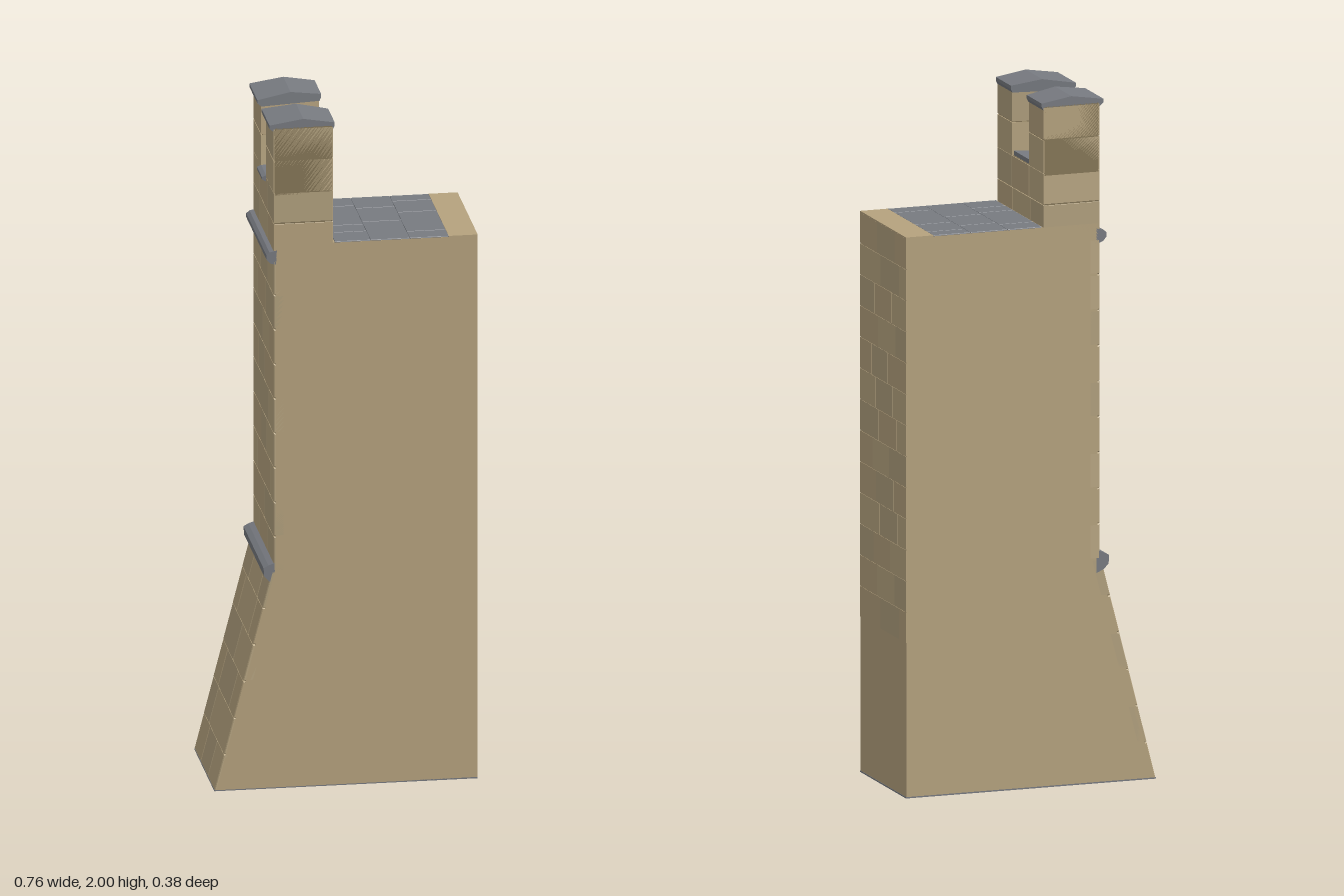
import * as THREE from 'three';

const STONES = [0xb5a27e, 0xb1a07e, 0xb8a682].map(color => new THREE.MeshStandardMaterial({ color, flatShading: true }));
const SLATE = new THREE.MeshStandardMaterial({ color: 0x777a80, flatShading: true });
const MORTAR = new THREE.MeshStandardMaterial({ color: 0x857657, flatShading: true });
const D = 0.1875;    // half the depth of the wall section
const ROOF = 1.625;  // walkway level

export function createModel() {
  const root = new THREE.Group();
  root.name = 'castleWallSection';
  let count = 0;
  const stone = () => STONES[(count++ * 7 + (count >> 2)) % 3];

  const add = (parent, name, geometry, material) => {
    const mesh = new THREE.Mesh(geometry, material);
    mesh.name = name;
    parent.add(mesh);
  };
  const group = name => {
    const g = new THREE.Group();
    g.name = name;
    root.add(g);
    return g;
  };

  // Side profile (x, y) swept from z0 to z1, optionally with chamfered edges
  const sweep = (pts, z0, z1, bevel = 0) => {
    const shape = new THREE.Shape(pts.map(p => new THREE.Vector2(...p)));
    return new THREE.ExtrudeGeometry(shape, {
      depth: z1 - z0 - 2 * bevel, bevelEnabled: bevel > 0, bevelSegments: 1,
      bevelSize: bevel, bevelOffset: -bevel, bevelThickness: bevel,
    }).translate(0, 0, z0 + bevel);
  };
  const rect = (x0, x1, y0, y1) => [[x0, y0], [x1, y0], [x1, y1], [x0, y1]];

  // Half width of the embrasure, widening toward the walkway
  const gapAt = x => 0.045 + (x + 0.21) * 0.147;
  // Profile swept from the splayed embrasure side to the outer end
  const splayed = (pts, side, inset) => {
    const g = sweep(pts, 0, 1), p = g.attributes.position;
    for (let i = 0; i < p.count; i++) {
      const inner = gapAt(p.getX(i)) + inset, t = p.getZ(i);
      p.setZ(i, side > 0 ? inner + t * (D - inner) : -D + t * (D - inner));
    }
    g.computeVertexNormals();
    return g;
  };

  // Solid core with the battered foot
  add(root, 'wallCore', sweep([[-0.374, 0.003], [0.374, 0.003], [0.374, ROOF], [-0.204, ROOF], [-0.204, 0.66]], -D, D), STONES[0]);
  add(root, 'underside', new THREE.BoxGeometry(0.755, 0.004, 2 * D).translate(-0.0025, 0.002, 0), SLATE);

  // One course of facing stones between two points of the outer face
  const course = (parent, a, b, joints) => {
    const edges = [-D, ...joints, D];
    for (let i = 0; i < edges.length - 1; i++) {
      const z0 = edges[i] + (i ? 0.0015 : 0), z1 = edges[i + 1] - (i < edges.length - 2 ? 0.0015 : 0);
      const pts = [[a[0], a[1] + 0.001], [a[0] + 0.03, a[1] + 0.001], [b[0] + 0.03, b[1] - 0.001], [b[0], b[1] - 0.001]];
      add(parent, 'facingStone', sweep(pts, z0, z1, 0.0025), stone());
    }
  };
  const foot = group('batteredFoot');
  const footJoints = [[-0.07, 0.063], [-0.09], [-0.1, 0.097], [0], [-0.11, 0.1], [-0.075, 0.09]];
  const footAt = t => [-0.38 + 0.165 * t, 0.65 * t];
  footJoints.forEach((j, i) => course(foot, footAt(i / 6), footAt((i + 1) / 6), j));

  const face = group('outerFace');
  const faceJoints = [[-0.08, 0.07], [0.01], [-0.11, 0.12], [-0.04, 0.05], [0.09], [-0.09, 0.02], [-0.02, 0.11], [-0.12, 0.04], [-0.05, 0.08]];
  const step = (1.58 - 0.65) / faceJoints.length;
  faceJoints.forEach((j, i) => course(face, [-0.21, 0.65 + i * step], [-0.21, 0.65 + (i + 1) * step], j));

  // Projecting string courses
  add(root, 'lowerStringCourse', sweep([[-0.2, 0.61], [-0.222, 0.62], [-0.237, 0.635], [-0.239, 0.66], [-0.225, 0.668], [-0.2, 0.677]], -D, D), SLATE);
  add(root, 'upperStringCourse', sweep([[-0.2, 1.565], [-0.22, 1.572], [-0.231, 1.585], [-0.231, 1.597], [-0.222, 1.605], [-0.2, 1.61]], -D, D), SLATE);

  // Faint flush stones on the inner face
  const inner = group('innerFace');
  for (let i = 0; i < 13; i++) {
    const y = 0.45 + i * 0.0904, s = ((i * 37) % 11) / 11 * 0.1;
    const edges = [-D, -0.13 + s, 0.02 + s * 0.8, D];
    for (let k = 0; k < 3; k++) {
      const w = edges[k + 1] - edges[k] - 0.002;
      add(inner, 'innerStone', new THREE.BoxGeometry(0.002, 0.0885, w)
        .translate(0.3742, y + 0.0452, (edges[k] + edges[k + 1]) / 2), stone());
    }
  }

  // Walkway paving and its stone kerb
  const walkway = group('walkway');
  const rows = [[-0.035, 0.068, [-0.117, 0.047, 0.108]], [0.068, 0.18, [-0.092, 0.028]], [0.18, 0.292, [-0.138, -0.04, 0.13]]];
  for (const [x0, x1, joints] of rows) {
    const edges = [-D, ...joints, D];
    for (let i = 0; i < edges.length - 1; i++) {
      add(walkway, 'pavingSlab', sweep(rect(x0 + 0.0005, x1 - 0.0005, ROOF - 0.01, ROOF + 0.003), edges[i] + 0.0005, edges[i + 1] - 0.0005, 0.0015), SLATE);
    }
  }
  add(walkway, 'kerb', new THREE.BoxGeometry(0.083, 0.02, 2 * D).translate(0.3335, ROOF - 0.007, 0), STONES[0]);

  // Parapet base
  const parapet = group('parapet');
  add(parapet, 'parapetCore', sweep(rect(-0.207, -0.043, 1.6, 1.782), -D + 0.001, D - 0.001), MORTAR);
  [[1.6, 1.69, [-0.08, 0.065]], [1.69, 1.782, [-0.07, 0.07]]].forEach(([y0, y1, joints]) => {
    const edges = [-D, ...joints, D];
    for (let i = 0; i < 3; i++) {
      add(parapet, 'parapetStone', sweep(rect(-0.21, -0.04, y0 + 0.001, y1 - 0.001), edges[i] + (i ? 0.0015 : 0), edges[i + 1] - (i < 2 ? 0.0015 : 0), 0.0015), stone());
    }
  });

  // Embrasure sill, splayed to match the opening
  const sill = sweep([[-0.222, 1.776], [-0.21, 1.77], [-0.046, 1.77], [-0.046, 1.795], [-0.21, 1.788], [-0.222, 1.783]], -1, 1);
  const sp = sill.attributes.position;
  for (let i = 0; i < sp.count; i++) sp.setZ(i, sp.getZ(i) * (gapAt(sp.getX(i)) + 0.003));
  sill.computeVertexNormals();
  add(root, 'embrasureSill', sill, SLATE);

  // Two merlons with ridged coping stones
  for (const side of [1, -1]) {
    const merlon = group(side > 0 ? 'frontMerlon' : 'backMerlon');
    add(merlon, 'merlonCore', splayed(rect(-0.207, -0.043, 1.775, 1.975), side, 0.003), MORTAR);
    for (const [y0, y1] of [[1.782, 1.877], [1.88, 1.972]]) {
      add(merlon, 'merlonStone', splayed(rect(-0.21, -0.04, y0, y1), side, 0), stone());
    }
    const cap = [[-0.21, 1.965], [-0.04, 1.965], [-0.035, 1.975], [-0.035, 1.985], [-0.125, 2], [-0.222, 1.985], [-0.222, 1.975]];
    add(merlon, 'coping', splayed(cap, side, -0.006), SLATE);
  }
  return root;
}
